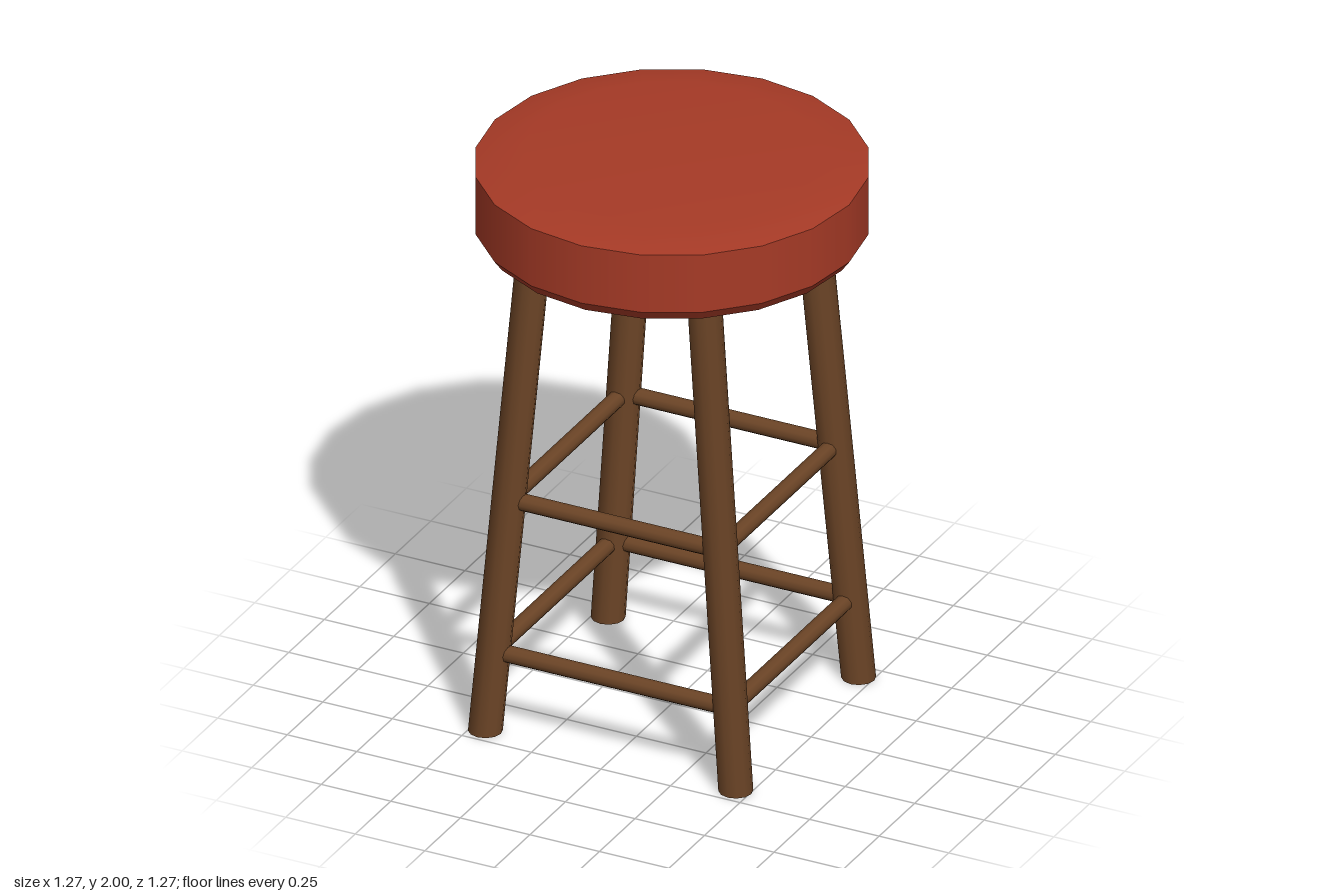
import * as THREE from 'three';

export function createModel() {
  const group = new THREE.Group();
  const red = new THREE.MeshStandardMaterial({ name: 'red upholstery', color: 0xa63a26 });
  const brown = new THREE.MeshStandardMaterial({ name: 'brown wood', color: 0x6b4426 });

  const add = (name, geometry, material) => {
    const mesh = new THREE.Mesh(geometry, material);
    mesh.name = name;
    group.add(mesh);
    return mesh;
  };

  // Cushion: separate lathed bands keep the rim edges sharp
  const band = (name, points) =>
    add(name, new THREE.LatheGeometry(points.map(([r, y]) => new THREE.Vector2(r, y)), 20), red);
  band('seatLowerBevel', [[0.61, 1.72], [0.637, 1.757]]);
  band('seatSide', [[0.637, 1.757], [0.637, 1.965]]);
  band('seatTop', [[0.637, 1.965], [0.48, 2], [0, 2]]);

  // Wooden underside
  const base = add('seatUnderside', new THREE.CircleGeometry(0.61, 20), brown);
  base.rotation.x = Math.PI / 2;
  base.position.y = 1.72;

  // Centre line of a leg at height y, for the corner with signs sx, sz
  const legPoint = (sx, sz, y) => {
    const t = y / 1.72;
    return new THREE.Vector3(sx * (0.45 - 0.142 * t), y, sz * (0.432 - 0.058 * t));
  };

  // Splayed legs: upright cylinders sheared so the feet stay level
  const legHeight = 1.74;
  const corners = [[1, 1, 'frontLeft'], [1, -1, 'backLeft'], [-1, -1, 'backRight'], [-1, 1, 'frontRight']];
  for (const [sx, sz, name] of corners) {
    const leg = new THREE.CylinderGeometry(0.056, 0.056, legHeight, 12);
    leg.translate(0, legHeight / 2, 0);
    const pos = leg.attributes.position;
    for (let i = 0; i < pos.count; i++) {
      const c = legPoint(sx, sz, pos.getY(i));
      pos.setXYZ(i, pos.getX(i) + c.x, c.y, pos.getZ(i) + c.z);
    }
    leg.computeBoundingSphere();
    add(name + 'Leg', leg, brown);
  }

  // Two rings of rungs joining neighbouring legs
  const sides = ['left', 'back', 'right', 'front'];
  for (const [level, y] of [['Lower', 0.29], ['Upper', 0.843]]) {
    sides.forEach((side, i) => {
      const [ax, az] = corners[i];
      const [bx, bz] = corners[(i + 1) % 4];
      const path = new THREE.LineCurve3(legPoint(ax, az, y), legPoint(bx, bz, y));
      add(side + level + 'Rung', new THREE.TubeGeometry(path, 1, 0.029, 10), brown);
    });
  }
  return group;
}
